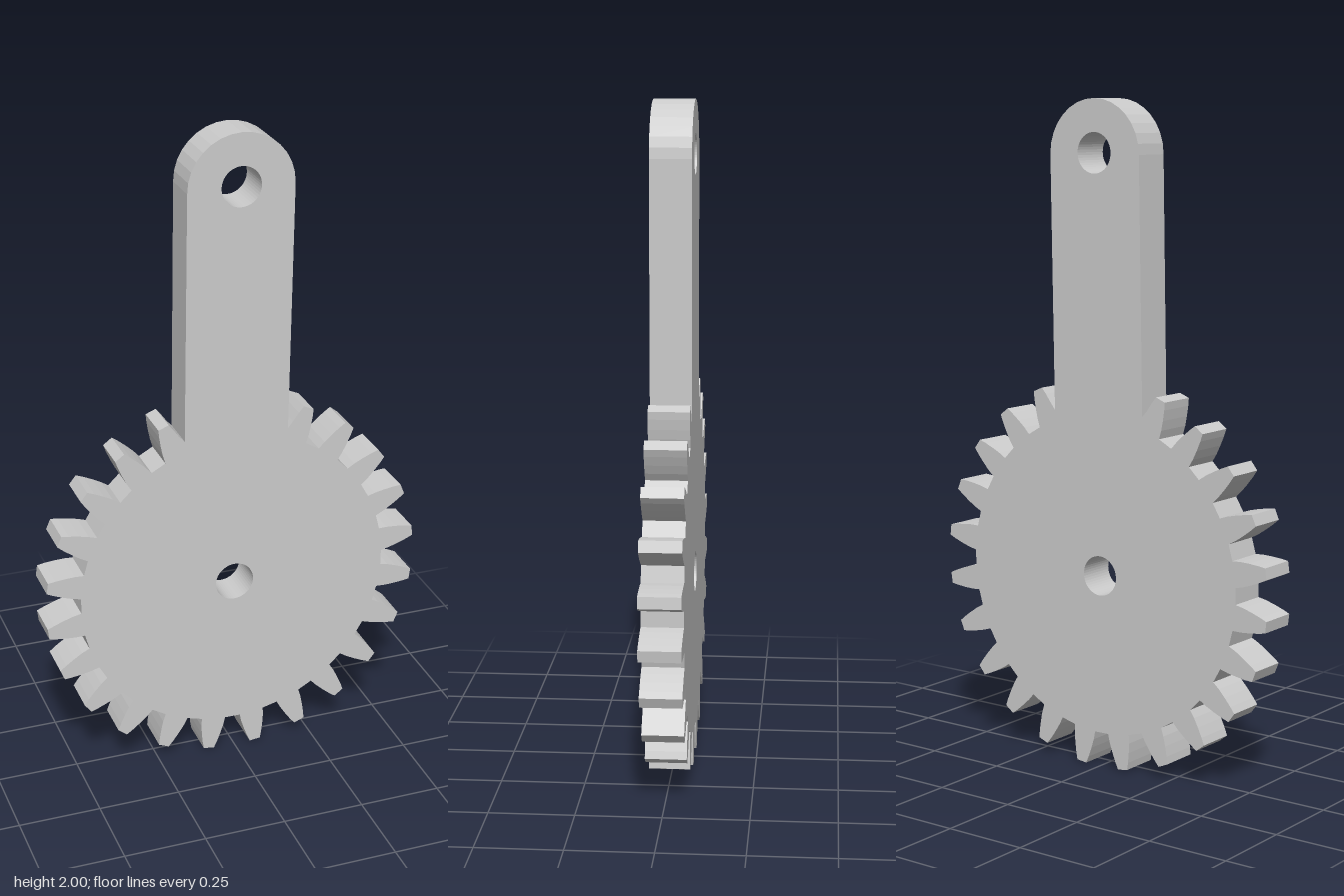
import * as THREE from 'three';

const DEPTH = 0.122;
const GEAR = { x: 0, y: 0.59, teeth: 24, firstAngle: 66.75, kept: 22 };
const ARM_END = { x: 0.02, y: 1.839, radius: 0.161 };
const HOLE_RADIUS = 0.06;

// Tooth flank from root to tip: [radius, half angle in degrees]
const FLANK = [[0.485, 4.6], [0.511, 4.1], [0.54, 3.3], [0.57, 2.4], [0.592, 1.65]];

function polar(radius, degrees) {
  const a = THREE.MathUtils.degToRad(degrees);
  return new THREE.Vector2(GEAR.x + radius * Math.cos(a), GEAR.y + radius * Math.sin(a));
}

function roundHole(x, y) {
  const hole = new THREE.Path();
  hole.absarc(x, y, HOLE_RADIUS, 0, Math.PI * 2, false);
  return hole;
}

function outline() {
  const points = [];

  // Right corner where the arm meets the first tooth
  points.push(new THREE.Vector2(0.168, 1.077));

  // Teeth, clockwise round the gear; the two under the arm are left out
  for (let k = 0; k < GEAR.kept; k++) {
    const angle = GEAR.firstAngle - (k * 360) / GEAR.teeth;
    const rising = k === 0 ? FLANK.slice(2) : FLANK;
    const falling = k === GEAR.kept - 1 ? FLANK.slice(2) : FLANK;
    for (const [r, half] of rising) points.push(polar(r, angle + half));
    for (const [r, half] of [...falling].reverse()) points.push(polar(r, angle - half));
  }

  // Left corner, then over the rounded end of the arm
  points.push(new THREE.Vector2(-0.155, 1.085));
  const steps = 16;
  for (let i = 0; i <= steps; i++) {
    const a = Math.PI * (1 - i / steps);
    points.push(new THREE.Vector2(
      ARM_END.x + ARM_END.radius * Math.cos(a),
      ARM_END.y + ARM_END.radius * Math.sin(a)
    ));
  }
  return new THREE.Shape(points);
}

export function createModel() {
  const group = new THREE.Group();
  group.name = 'gearLever';

  // One flat plate: gear and arm with a pivot hole in each
  const shape = outline();
  shape.holes.push(roundHole(GEAR.x, GEAR.y), roundHole(ARM_END.x, 1.843));

  const geometry = new THREE.ExtrudeGeometry(shape, {
    depth: DEPTH, bevelEnabled: false, curveSegments: 24
  });
  geometry.translate(0, 0, -DEPTH / 2);

  const plate = new THREE.Mesh(
    geometry,
    new THREE.MeshStandardMaterial({ color: 0xcccccc, flatShading: true })
  );
  plate.name = 'gearWithArm';
  group.add(plate);
  return group;
}
